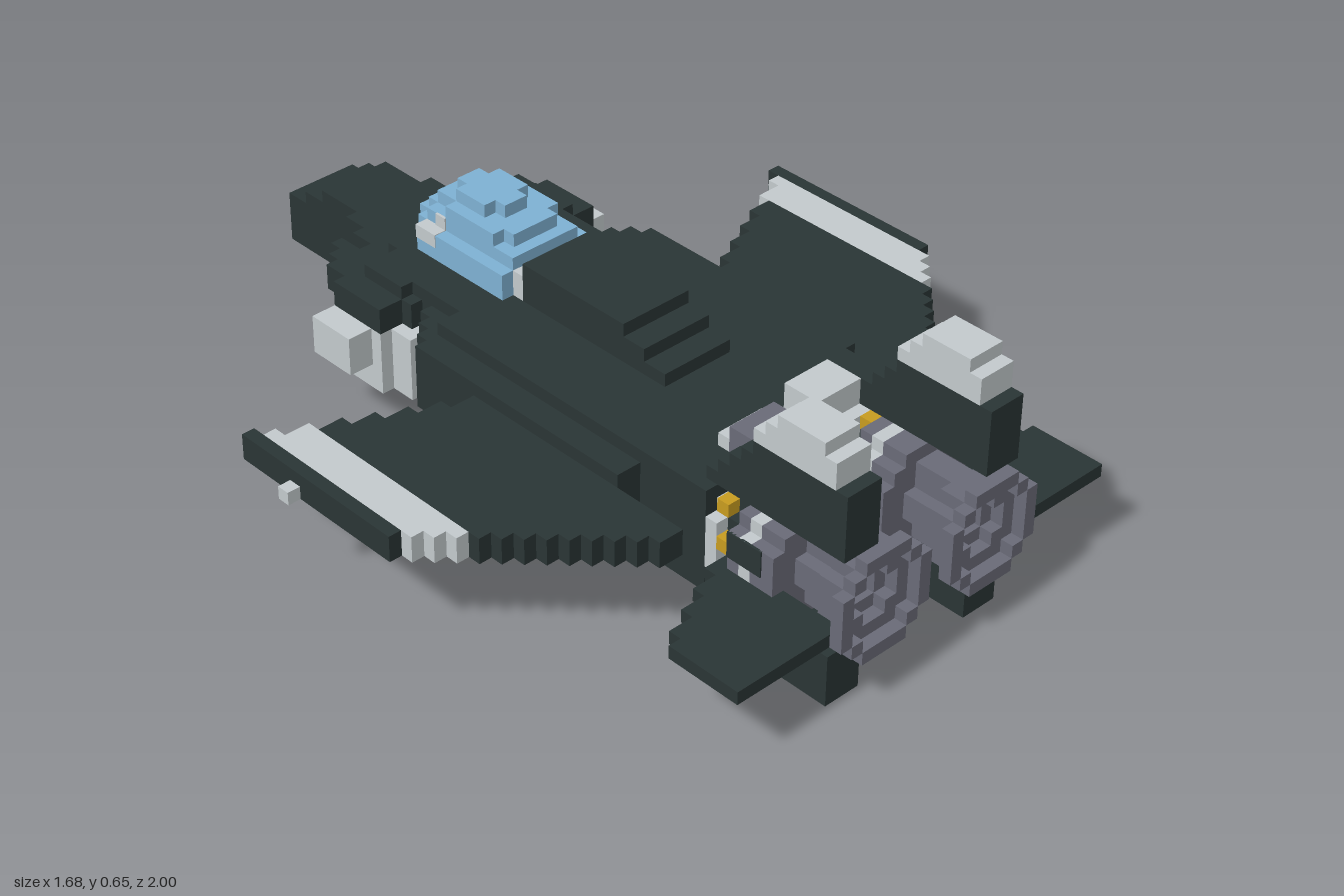
import * as THREE from 'three';

const V = 1 / 31; // one block

const material = (name, color) => {
  const m = new THREE.MeshStandardMaterial({ color });
  m.name = name;
  return m;
};

export function createModel() {
  const dark = material('dark hull', 0x2a3535);
  const light = material('light grey', 0xc4cbce);
  const steel = material('engine grey', 0x6a6b78);
  const gold = material('gold', 0xc99d20);
  const blue = material('canopy blue', 0x7fb2d4);

  const model = new THREE.Group();
  model.name = 'blockJet';

  // Box from its limits, counted in blocks
  const box = (name, mat, x0, x1, y0, y1, z0, z1) => {
    const g = new THREE.BoxGeometry((x1 - x0) * V, (y1 - y0) * V, (z1 - z0) * V);
    const mesh = new THREE.Mesh(g, mat);
    mesh.position.set((x0 + x1) / 2 * V, (y0 + y1) / 2 * V, (z0 + z1) / 2 * V);
    mesh.name = name;
    model.add(mesh);
  };
  const centred = (name, mat, hw, ...rest) => box(name, mat, -hw, hw, ...rest);
  const pair = (name, mat, x0, x1, ...rest) => {
    box(name, mat, x0, x1, ...rest);
    box(name, mat, -x1, -x0, ...rest);
  };
  // Stepped disc or ring of blocks facing z
  const disc = (name, mat, cx, cy, r, z0, z1, inner = 0) => {
    const half = (rad, d) => (Math.abs(d) < rad ? Math.round(Math.sqrt(rad * rad - d * d)) : 0);
    for (let y = -r; y < r; y++) {
      const w = half(r, y + 0.5), h = half(inner, y + 0.5);
      if (h > 0) {
        box(name, mat, cx - w, cx - h, cy + y, cy + y + 1, z0, z1);
        box(name, mat, cx + h, cx + w, cy + y, cy + y + 1, z0, z1);
      } else box(name, mat, cx - w, cx + w, cy + y, cy + y + 1, z0, z1);
    }
  };

  // Nose: half width, top, z range
  for (const [hw, top, z0, z1] of [
    [3, 9, -31, -29], [3, 10, -29, -27], [3, 11, -27, -23],
    [4, 11, -23, -21], [5, 11, -21, -17],
  ]) centred('nose', dark, hw, 5, top, z0, z1);
  centred('noseSensor', light, 1, 3, 5, -19, -17);

  // Fuselage
  centred('fuselage', dark, 5, 5, 12, -17, -7);
  centred('fuselage', dark, 5, 4, 5, -10, -7);
  centred('fuselage', dark, 9, 4, 12, -7, 15);
  centred('fuselage', dark, 1, 4, 12, 15, 19);
  pair('rearHull', dark, 1, 9, 4, 12, 15, 19);
  pair('flank', dark, 9, 11, 6, 11, -7, 13);

  // Shoulders over the intakes: outer x, z range
  for (const [x, z0, z1] of [
    [9, -19, -17], [10, -17, -12], [8, -12, -11], [7, -11, -10],
    [8, -10, -9], [9, -9, -8], [10, -8, -7],
  ]) pair('shoulder', dark, 5, x, 9, 11, z0, z1);
  pair('shoulder', dark, 6, 7, 9, 11, -21, -19);
  pair('shoulder', dark, 7, 8, 9, 11, -20, -19);
  pair('shoulderTop', dark, 5, 8, 11, 12, -16, -12);
  pair('shoulderTop', dark, 5, 7, 11, 12, -12, -7);
  pair('intakeDuct', dark, 5, 8, 5, 9, -10, -7);

  // Intakes with side pods
  pair('intake', light, 5, 10, 4, 9, -17, -12);
  pair('intakeRear', light, 5, 9, 4, 9, -12, -10);
  pair('intakeOpening', dark, 7, 9, 6, 8, -17.1, -17);
  pair('intakePod', light, 10, 12, 6, 9, -17, -13);

  // Belly tank
  centred('bellyTank', light, 3, 3, 4, -10, 15);
  centred('bellyTank', light, 3, 2, 3, -7, 13);

  // Spine
  centred('spine', dark, 3, 12, 15, -5, 5);
  centred('spine', dark, 3, 12, 14, 5, 7);
  centred('spine', dark, 3, 12, 13, 7, 9);

  // Canopy: half width, y range, z range
  for (const [hw, y0, y1, z0, z1] of [
    [4, 12, 14, -15, -6], [3, 12, 14, -16, -15], [2, 12, 14, -17, -16],
    [3, 14, 15, -15, -6], [2, 14, 15, -16, -15],
    [3, 15, 16, -13, -8], [2, 15, 16, -15, -7],
    [2, 16, 17, -13, -10], [1, 16, 17, -14, -9],
  ]) centred('canopy', blue, hw, y0, y1, z0, z1);
  centred('canopyRearFrame', light, 3, 12, 14, -6, -5);
  pair('canopyFrame', light, 3, 4.05, 13, 14.05, -15.05, -13);
  pair('canopyFrame', light, 2.9, 3.1, 14, 15, -14, -13);

  // Wings, one strip per block of span
  for (let x = 11; x < 24; x++) {
    const front = -1 - Math.floor((x - 11) / 2);
    const back = Math.min(19, 31 - x);
    pair(x < 21 ? 'wing' : 'wingStripe', x < 21 ? dark : light, x, x + 1, 8, 10, front, back);
  }
  pair('wingTipRail', dark, 24, 25, 8, 10, -8, 7);
  pair('wingTipLamp', light, 25, 26, 8, 9, -3, -2);

  // Stores under the wings
  pair('outerPylon', light, 21, 23, 7, 8, 0, 4);
  pair('middlePylon', light, 16, 18, 7, 8, -3, 2);
  pair('innerPylon', light, 11, 14, 7, 8, 2, 5);
  for (const x of [11, -14]) {
    box('pod', light, x, x + 2, 5, 7, 2, 4);
    box('podCover', steel, x + 2, x + 3, 5, 7, 2, 4);
    box('podTail', light, x, x + 2, 6, 7, 4, 5);
  }

  // Horizontal tail, stepped leading edge
  for (let x = 8; x < 17; x++) {
    pair('stabilizer', dark, x, x + 1, 6, 7, 20 + Math.floor((x - 8) / 2), 30);
  }

  // Upper fins, stepped leading edge
  for (let y = 12; y < 17; y++) pair('upperFin', dark, 5, 8, y, y + 1, y + 6, 30);
  for (const [y, z0, z1] of [[17, 22, 29], [18, 23, 29], [19, 24, 28]]) {
    pair('finCap', light, 5, 8, y, y + 1, z0, z1);
  }
  // Lower fins
  for (const [y, z0] of [[3, 19], [2, 19], [1, 21], [0, 23]]) {
    pair('lowerFin', dark, 5, 8, y, y + 1, z0, 29);
  }

  // Vents ahead of the engines
  box('rightVent', steel, -5, -1, 12, 14, 17, 19);
  box('rightVentLip', light, -5, -1, 12, 13, 16, 17);
  box('leftVent', light, 1, 5, 12, 14, 16, 19);

  // Engines with a deep hollow nozzle
  for (const cx of [-5, 5]) {
    disc('engineCollar', light, cx, 8, 4, 19, 20);
    disc('engineCore', dark, cx, 8, 3, 20, 21);
    disc('engineDrum', steel, cx, 8, 4, 21, 22);
    disc('engineBand', light, cx, 8, 4, 22, 23);
    disc('engineDrum', steel, cx, 8, 4, 23, 25);
    disc('enginePipe', steel, cx, 8, 2, 25, 28, 1);
    box('upperPipeRidge', steel, cx - 1, cx + 1, 10, 11, 25, 28);
    box('lowerPipeRidge', steel, cx - 1, cx + 1, 5, 6, 25, 28);
    disc('nozzle', steel, cx, 8, 3, 28, 29, 1);
    disc('nozzle', steel, cx, 8, 3, 29, 30, 2);
    disc('nozzleRim', steel, cx, 8, 4, 30, 31, 3);
    box('igniter', gold, cx - 1, cx, 8, 9, 25, 25.3);
    box('igniter', gold, cx, cx + 1, 7, 8, 25, 25.3);
    for (const [x, y] of [[-4, 11], [2, 11], [3, 10], [-4, 5], [-3, 4], [3, 4], [3, 8], [-4, 8], [-1, 11]]) {
      box('bolt', gold, cx + x, cx + x + 1, y, y + 1, 20, 21);
    }
  }
  pair('enginePanel', dark, 8.9, 9.1, 8, 10, 21, 24);
  return model;
}
